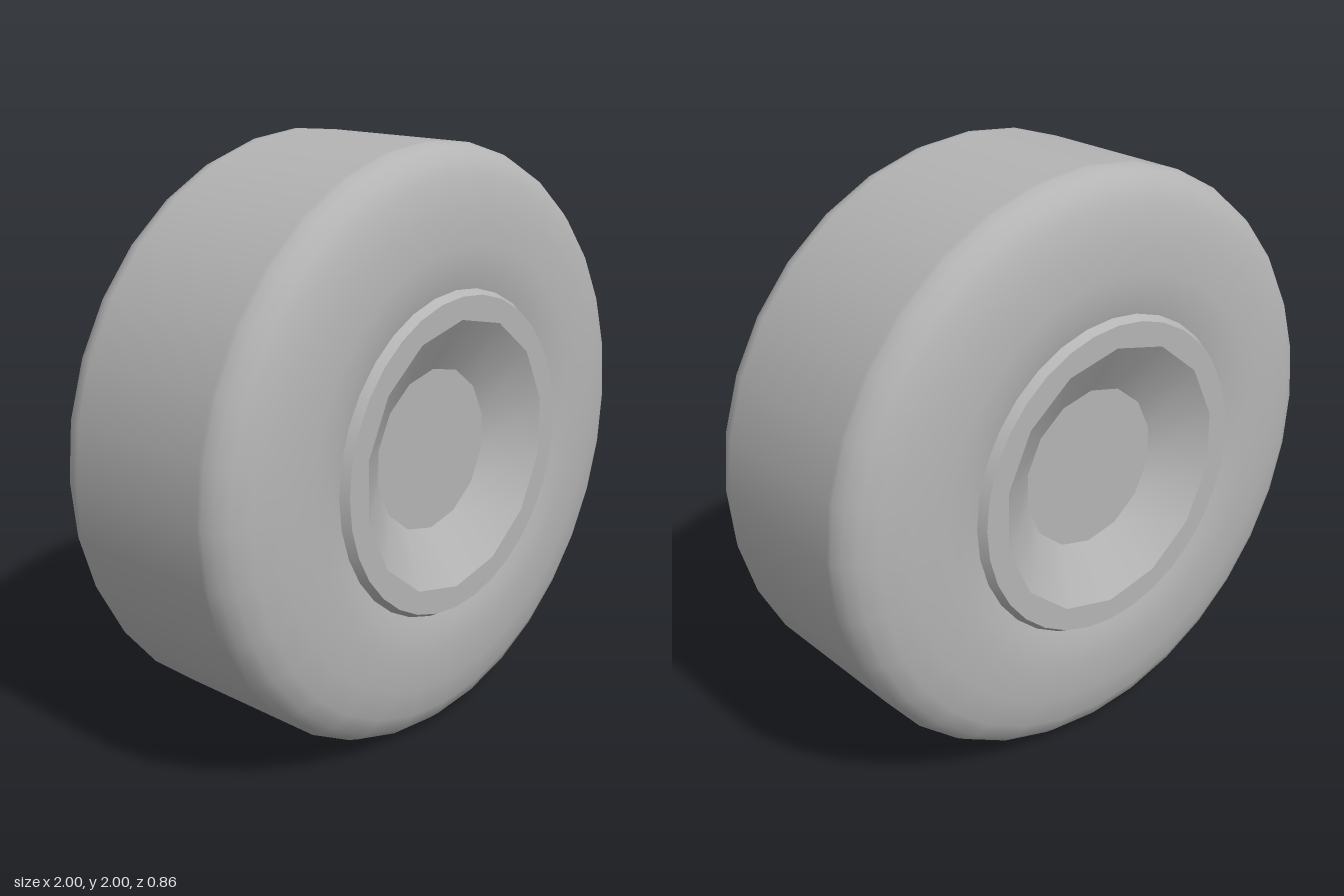
import * as THREE from 'three';

const SIDES = 32, BOWL_SIDES = 14;

// Ring of points matching the lathe vertices
function ring(radius, sides) {
  return Array.from({ length: sides }, (_, i) => {
    const a = (i / sides) * Math.PI * 2;
    return new THREE.Vector2(radius * Math.sin(a), -radius * Math.cos(a));
  });
}

// Lathe around the z axis; profile points are [radius, z]
function latheZ(profile, sides) {
  const points = profile.map(([r, z]) => new THREE.Vector2(r, z));
  return new THREE.LatheGeometry(points, sides).rotateX(Math.PI / 2);
}

export function createModel() {
  const wheel = new THREE.Group();
  wheel.name = 'wheel';
  const grey = new THREE.MeshStandardMaterial({ color: 0xb4b4b4 });
  grey.name = 'plain grey';

  const add = (parent, name, geometry) => {
    const mesh = new THREE.Mesh(geometry, grey);
    mesh.name = name;
    parent.add(mesh);
  };

  // Tyre: flat tread, rounded shoulders, sidewalls dipping towards the rim
  const half = [
    [1, 0.27], [1, 0.29], [0.985, 0.325], [0.955, 0.36], [0.9, 0.39],
    [0.8, 0.412], [0.68, 0.42], [0.6, 0.415], [0.54, 0.4],
  ];
  const back = half.map(([r, z]) => [r, -z]).reverse();
  add(wheel, 'tyre', latheZ([...back, ...half], SIDES));

  // The same hub on both faces
  for (const side of ['front', 'back']) {
    const hub = new THREE.Group();
    hub.name = side + 'Hub';

    // Raised lip with a bevelled edge
    add(hub, 'rimEdge', latheZ([[0.55, 0.395], [0.53, 0.43]], SIDES));
    const face = new THREE.Shape(ring(0.53, SIDES));
    face.holes.push(new THREE.Path(ring(0.455, BOWL_SIDES)));
    add(hub, 'rimFace', new THREE.ShapeGeometry(face).translate(0, 0, 0.43));

    // Sunken bowl with a flat floor
    add(hub, 'bowlWall', latheZ([[0.455, 0.43], [0.275, 0.315]], BOWL_SIDES));
    add(hub, 'bowlFloor', latheZ([[0.275, 0.315], [0, 0.315]], BOWL_SIDES));

    if (side === 'back') hub.rotation.y = Math.PI;
    wheel.add(hub);
  }

  wheel.position.y = 1;
  const model = new THREE.Group();
  model.name = 'wheelModel';
  model.add(wheel);
  return model;
}
